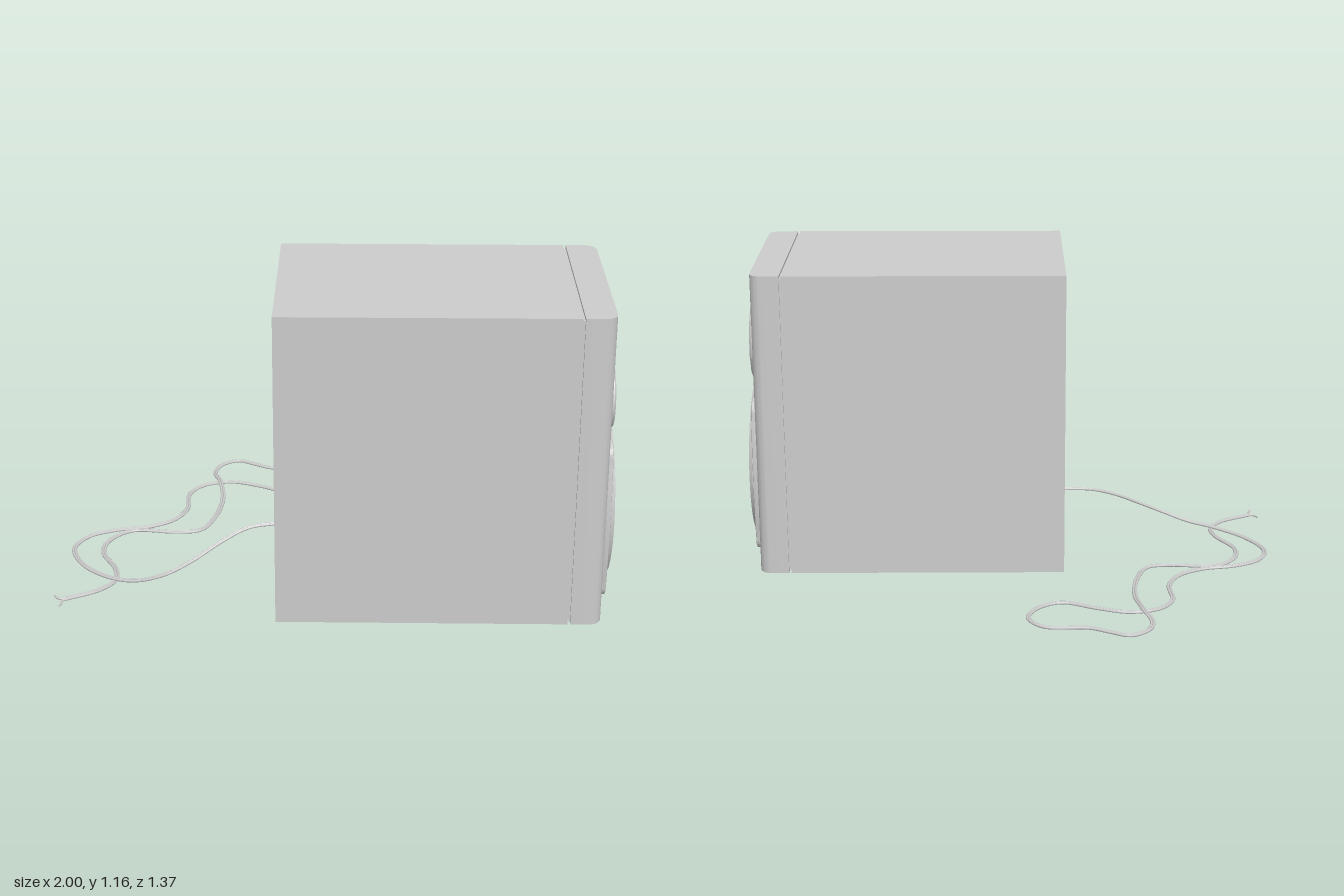
import * as THREE from 'three';
import { toCreasedNormals } from 'three/addons/utils/BufferGeometryUtils.js';

const mat = (name, color) => {
  const m = new THREE.MeshStandardMaterial({ color });
  m.name = name;
  return m;
};

export function createModel() {
  const grey = mat('lightGrey', 0xcccccc);
  const rubber = mat('rubberBlack', 0x393939);

  const root = new THREE.Group();
  root.name = 'loudspeaker';
  // Speaker is built facing local +z, then turned to face +x
  const speaker = new THREE.Group();
  speaker.name = 'speaker';
  speaker.rotation.y = Math.PI / 2;
  speaker.position.z = 0.297;
  root.add(speaker);

  const add = (name, geo, m, parent = speaker) => {
    const mesh = new THREE.Mesh(geo, m);
    mesh.name = name;
    parent.add(mesh);
    return mesh;
  };
  const box = (name, x0, x1, y0, y1, z0, z1) =>
    add(name, new THREE.BoxGeometry(x1 - x0, y1 - y0, z1 - z0), grey)
      .position.set((x0 + x1) / 2, (y0 + y1) / 2, (z0 + z1) / 2);
  // Turned part on the baffle; profile [radius, depth] runs from outside to inside
  const turned = (name, u, v, profile, m = grey, segments = 64, crease = 0.6) => {
    let g = new THREE.LatheGeometry(profile.map(([r, w]) => new THREE.Vector2(r, w)), segments);
    g = toCreasedNormals(g, crease).rotateX(Math.PI / 2);
    add(name, g, m).position.set(u, v, 0);
  };
  const circle = (u, v, r) => new THREE.Path().absarc(u, v, r, 0, Math.PI * 2, true);

  const H = 0.3825, B = 0.005, T = 1.158, EDGE = 0.045;
  const BACK = -0.187, INNER = -0.168;

  // Cabinet with recessed back panel
  box('cabinet', -H, H, B, T, INNER, 0.846);
  const rim = 0.018;
  box('backRimTop', -H, H, T - rim, T, BACK, INNER);
  box('backRimBottom', -H, H, B, B + rim, BACK, INNER);
  box('backRimLeft', H - rim, H, B + rim, T - rim, BACK, INNER);
  box('backRimRight', -H, rim - H, B + rim, T - rim, BACK, INNER);
  box('baffleGroove', -H + 0.01, H - 0.01, B + 0.01, T - 0.01, 0.84, 0.857);

  // Driver centres on the baffle
  const W = [0, 0.356], TW = [0.119, 0.861], P = [-0.203, 0.815];

  // Baffle: flat panel with openings, plus rounded vertical edges
  const half = H - EDGE;
  const panel = new THREE.Shape([
    new THREE.Vector2(-half, B), new THREE.Vector2(half, B),
    new THREE.Vector2(half, T), new THREE.Vector2(-half, T)]);
  panel.holes.push(circle(...W, 0.27), circle(...TW, 0.145), circle(...P, 0.109));
  const panelGeo = new THREE.ExtrudeGeometry(panel, { depth: 0.11, bevelEnabled: false, curveSegments: 32 });
  add('bafflePanel', panelGeo.translate(0, 0, 0.855), grey);
  for (const s of [-1, 1]) {
    const pts = [new THREE.Vector2(s * half, 0.855), new THREE.Vector2(s * H, 0.855)];
    for (let i = 0; i <= 10; i++) {
      const a = (i / 10) * Math.PI / 2;
      pts.push(new THREE.Vector2(s * (half + EDGE * Math.cos(a)), 0.92 + EDGE * Math.sin(a)));
    }
    const g = new THREE.ExtrudeGeometry(new THREE.Shape(pts), { depth: T - B, bevelEnabled: false });
    add('baffleEdge', toCreasedNormals(g, 0.5).rotateX(Math.PI / 2).translate(0, T, 0), grey);
  }

  // Woofer mounting plate: square with bulging sides and rounded corners
  const plate = new THREE.Shape();
  const c = 0.288, d = 0.245, m = 0.335;
  plate.moveTo(d, -c);
  plate.quadraticCurveTo(c, -c, c, -d);
  plate.quadraticCurveTo(m, 0, c, d);
  plate.quadraticCurveTo(c, c, d, c);
  plate.quadraticCurveTo(0, m, -d, c);
  plate.quadraticCurveTo(-c, c, -c, d);
  plate.quadraticCurveTo(-m, 0, -c, -d);
  plate.quadraticCurveTo(-c, -c, -d, -c);
  plate.quadraticCurveTo(0, -m, d, -c);
  plate.holes.push(circle(0, 0, 0.295));
  const plateGeo = new THREE.ExtrudeGeometry(plate, {
    depth: 0.018, bevelThickness: 0.006, bevelSize: 0.006, bevelSegments: 2, curveSegments: 16 });
  add('wooferPlate', toCreasedNormals(plateGeo, 0.5).translate(W[0], W[1], 0.962), grey);

  // Woofer: trim ring, rubber surround, cone and dust cap
  turned('wooferRing', ...W, [[0.314, 0.962], [0.313, 0.988], [0.304, 1], [0.294, 1], [0.286, 0.976]]);
  const roll = [];
  for (let i = 0; i <= 10; i++) {
    const a = (i / 10) * Math.PI;
    roll.push([0.268 + 0.02 * Math.cos(a), 0.979 + 0.009 * Math.sin(a)]);
  }
  turned('wooferSurround', ...W, roll, rubber);
  turned('wooferCone', ...W, [[0.25, 0.978], [0.18, 0.93], [0.1, 0.885]]);
  const cap = [];
  for (let i = 0; i <= 12; i++) {
    const a = (i / 12) * Math.PI / 2;
    cap.push([0.11 * Math.cos(a), 0.888 + 0.065 * Math.sin(a)]);
  }
  turned('dustCap', ...W, cap);

  // Tweeter: faceted rim, shallow horn, dome and three short fins
  turned('tweeterHorn', ...TW, [[0.168, 0.963], [0.165, 0.978], [0.157, 0.984], [0.145, 0.979],
    [0.105, 0.964], [0.062, 0.948]], grey, 14, 0.8);
  turned('tweeterDome', ...TW, [[0.063, 0.948], [0.05, 0.955], [0.03, 0.961], [0, 0.964]], grey, 24, 0.8);
  for (let i = 0; i < 3; i++) {
    const a = Math.PI / 2 + (i * Math.PI * 2) / 3;
    const fin = add('tweeterFin', new THREE.BoxGeometry(0.04, 0.012, 0.02), grey);
    fin.position.set(TW[0] + 0.056 * Math.cos(a), TW[1] + 0.056 * Math.sin(a), 0.956);
    fin.rotation.z = a;
  }

  // Bass port: raised lip, tube and closed end
  turned('bassPort', ...P, [[0.121, 0.963], [0.12, 0.974], [0.114, 0.979], [0.108, 0.972],
    [0.104, 0.862], [0, 0.862]], grey, 28);

  // Cable grommet on the back
  const grommetGeo = new THREE.CylinderGeometry(0.026, 0.026, 0.03, 8);
  const grommet = add('cableGrommet', toCreasedNormals(grommetGeo, 0.4), rubber);
  grommet.rotation.x = Math.PI / 2;
  grommet.position.set(0, 0.205, -0.177);

  // Cable: drop from the back, then a loop lying on the floor
  const drop = [[-0.175, 0.205, 0.295], [-0.3, 0.195, 0.318], [-0.4, 0.158, 0.362], [-0.5, 0.105, 0.408],
    [-0.6, 0.058, 0.43], [-0.7, 0.024, 0.415], [-0.8, 0.011, 0.375]];
  const floor = [[-0.92, 0.265], [-0.975, 0.125], [-0.93, 0.025], [-0.83, -0.03], [-0.72, -0.055],
    [-0.62, -0.12], [-0.575, -0.22], [-0.575, -0.36], [-0.52, -0.44], [-0.41, -0.47], [-0.3, -0.435],
    [-0.17, -0.38], [-0.08, -0.43], [-0.045, -0.52], [-0.1, -0.6], [-0.26, -0.61], [-0.33, -0.645],
    [-0.4, -0.677], [-0.465, -0.635], [-0.488, -0.56], [-0.46, -0.455], [-0.441, -0.32], [-0.46, -0.15],
    [-0.51, -0.035], [-0.6, -0.017], [-0.77, -0.025], [-0.85, 0.06], [-0.86, 0.16], [-0.8, 0.29],
    [-0.79, 0.38], [-0.84, 0.455], [-0.955, 0.525]];
  const R = 0.005;
  const path = drop.map((p) => new THREE.Vector3(...p));
  floor.forEach(([x, z], i) => path.push(new THREE.Vector3(x, i === 20 ? 0.014 : R, z)));
  const route = new THREE.CatmullRomCurve3(path);

  // Twin strands side by side, each ending in a splayed wire
  const ends = [[[-0.972, 0.526], [-0.985, 0.518], [-0.997, 0.5]], [[-0.966, 0.54], [-0.965, 0.555], [-0.973, 0.585]]];
  [1, -1].forEach((s, k) => {
    const strand = [];
    for (let i = 0; i <= 200; i++) {
      const t = route.getTangent(i / 200);
      const side = new THREE.Vector3(-t.z, 0, t.x).normalize().multiplyScalar(s * R * 0.9);
      strand.push(route.getPoint(i / 200).add(side));
    }
    const tube = (name, pts, r, n) =>
      add(name, new THREE.TubeGeometry(new THREE.CatmullRomCurve3(pts), n, r, 8), grey, root);
    tube('cableStrand', strand, R, 300);
    const tip = ends[k].map(([x, z]) => new THREE.Vector3(x, R, z));
    tube('wireEnd', [strand[200], ...tip], 0.004, 12);
  });

  return root;
}
